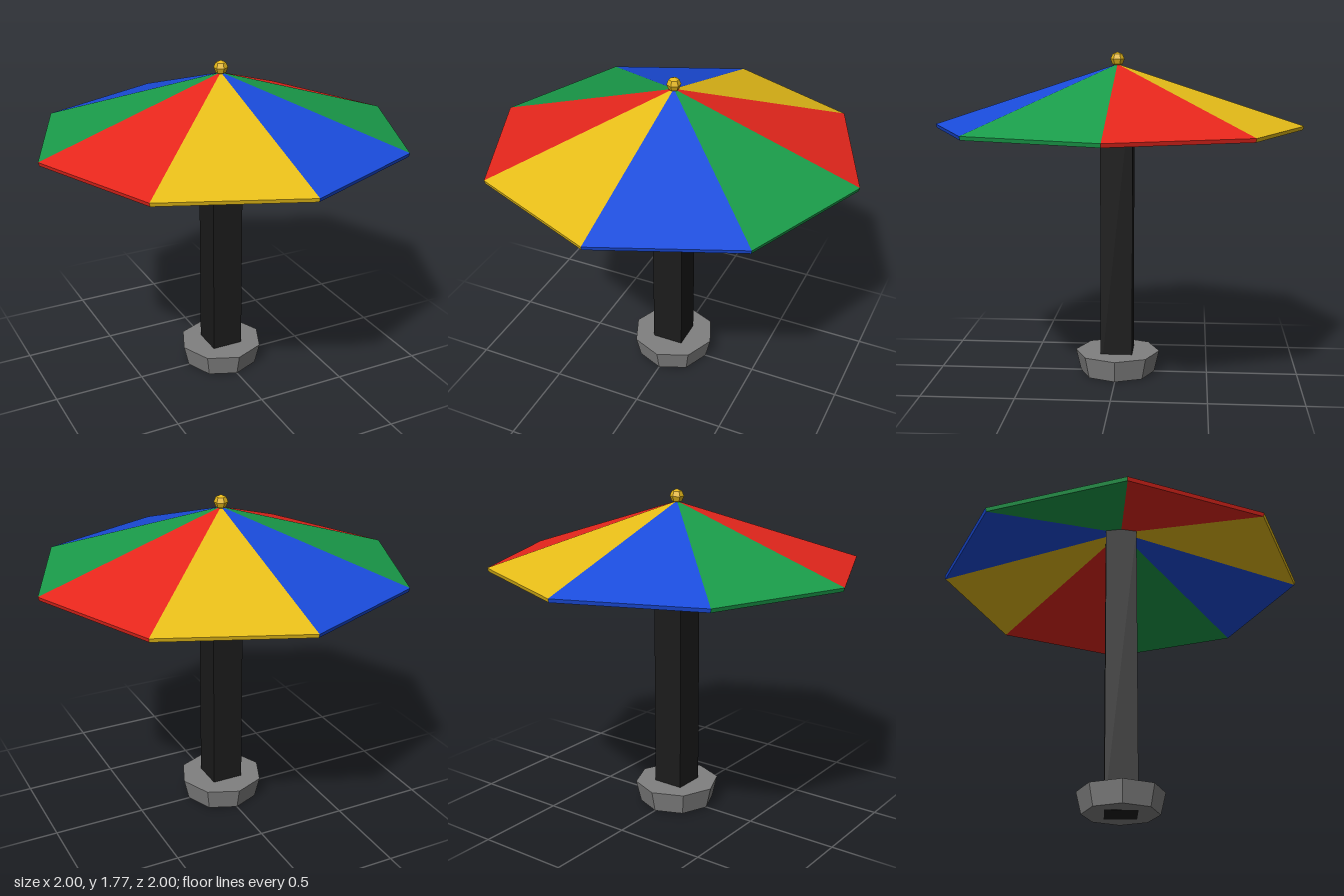
import * as THREE from 'three';

const material = (name, color, extra = {}) => {
  const m = new THREE.MeshStandardMaterial({ color, ...extra });
  m.name = name;
  return m;
};

// One wedge of the canopy: sloped top, thin rim and hollow underside
function wedgeGeometry(a0, a1) {
  const apex = 1.71, rim = 1.383, thickness = 0.02;
  const at = (a, r, y) => [r * Math.cos(a), y, r * Math.sin(a)];
  const top = [0, apex, 0], under = [0, apex - thickness, 0];
  const t0 = at(a0, 1, rim), t1 = at(a1, 1, rim);
  const b0 = at(a0, 0.994, rim - thickness), b1 = at(a1, 0.994, rim - thickness);
  const triangles = [
    top, t1, t0, // top
    t0, t1, b1, t0, b1, b0, // rim
    under, b0, b1, // underside
  ];
  const g = new THREE.BufferGeometry();
  g.setAttribute('position', new THREE.Float32BufferAttribute(triangles.flat(), 3));
  g.computeVertexNormals();
  return g;
}

export function createModel() {
  const model = new THREE.Group();
  model.name = 'parasol';
  const add = (name, geometry, mat, y = 0, parent = model) => {
    const mesh = new THREE.Mesh(geometry, mat);
    mesh.name = name;
    mesh.position.y = y;
    parent.add(mesh);
    return mesh;
  };

  const green = material('green', 0x1a9c4a);
  const blue = material('blue', 0x1a4cdc);
  const yellow = material('yellow', 0xe8be18);
  const red = material('red', 0xe6261c);
  const black = material('black', 0x1b1b1b);
  const grey = material('grey', 0x808080, { flatShading: true });
  const gold = material('gold', 0xe6b81a, { flatShading: true });

  // Eight canopy wedges, the four colours repeating twice
  const canopy = new THREE.Group();
  canopy.name = 'canopy';
  model.add(canopy);
  const colours = [green, blue, yellow, red];
  for (let i = 0; i < 8; i++) {
    const a = (i * Math.PI) / 4;
    add('canopyPanel' + (i + 1), wedgeGeometry(a, a + Math.PI / 4), colours[i % 4], 0, canopy);
  }

  // Square pole from the ground up into the canopy
  add('pole', new THREE.BoxGeometry(0.174, 1.66, 0.174), black, 0.83);

  // Octagonal foot, flaring upward
  add('base', new THREE.CylinderGeometry(0.234, 0.206, 0.119, 8), grey, 0.06);

  // Faceted ball on the tip
  const finial = add('finial', new THREE.SphereGeometry(0.038, 6, 4), gold, 1.736);
  finial.rotation.y = Math.PI / 6;

  return model;
}
